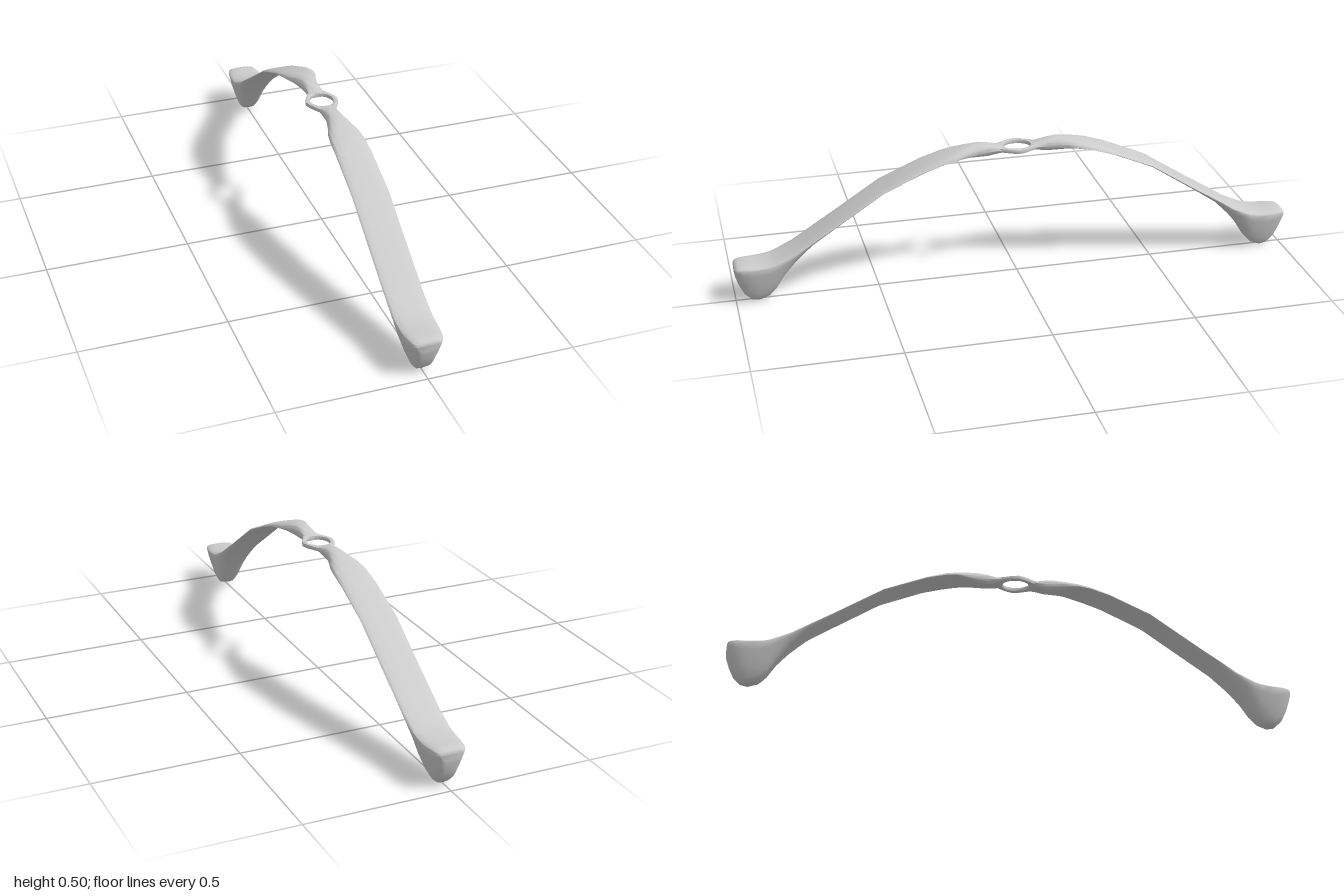
import * as THREE from 'three';
import { mergeVertices, toCreasedNormals } from 'three/addons/utils/BufferGeometryUtils.js';

const material = new THREE.MeshStandardMaterial({ color: 0xcccccc });
const SIDES = 32;

// Arm stations: z, half width, half width at the bottom, top y, edge y, bottom y
const STATIONS = [
  [0.048, 0.034, 0.034, 0.489, 0.482, 0.473],
  [0.075, 0.029, 0.028, 0.494, 0.482, 0.466],
  [0.105, 0.028, 0.026, 0.502, 0.482, 0.460],
  [0.14, 0.031, 0.030, 0.505, 0.479, 0.461],
  [0.18, 0.041, 0.038, 0.500, 0.474, 0.465],
  [0.22, 0.054, 0.051, 0.490, 0.470, 0.467],
  [0.26, 0.060, 0.058, 0.479, 0.463, 0.461],
  [0.33, 0.062, 0.060, 0.454, 0.443, 0.438],
  [0.48, 0.064, 0.062, 0.387, 0.380, 0.373],
  [0.65, 0.064, 0.061, 0.278, 0.270, 0.260],
  [0.73, 0.064, 0.058, 0.228, 0.220, 0.203],
  [0.79, 0.064, 0.054, 0.190, 0.182, 0.142],
  [0.83, 0.064, 0.049, 0.171, 0.162, 0.092],
  [0.86, 0.064, 0.044, 0.158, 0.148, 0.043],
  [0.885, 0.063, 0.040, 0.152, 0.142, 0.016],
  [0.92, 0.062, 0.038, 0.149, 0.138, 0.003],
  [0.945, 0.060, 0.036, 0.149, 0.137, 0.007],
  [0.97, 0.056, 0.036, 0.149, 0.137, 0.030],
  [0.987, 0.051, 0.036, 0.147, 0.137, 0.066],
  [0.997, 0.045, 0.036, 0.143, 0.135, 0.097],
  [1.0, 0.039, 0.032, 0.137, 0.130, 0.110],
];

// Lofts rounded sections along z, tapering each one toward its lower side
function armGeometry() {
  const positions = [], index = [];
  for (const [z, w, wb, top, edge, bottom] of STATIONS) {
    for (let i = 0; i < SIDES; i++) {
      const a = (i / SIDES) * Math.PI * 2;
      const c = Math.cos(a), s = Math.sin(a), depth = Math.max(0, -s);
      const x = THREE.MathUtils.lerp(w, wb, depth) * Math.sign(c) * Math.abs(c) ** (s > 0 ? 0.65 : 0.45);
      const y = s > 0 ? edge + (top - edge) * s : edge - (edge - bottom) * depth;
      positions.push(x, y, z);
    }
  }
  const rows = STATIONS.length;
  for (let r = 0; r < rows - 1; r++) {
    for (let i = 0; i < SIDES; i++) {
      const j = (i + 1) % SIDES;
      const a = r * SIDES + i, b = r * SIDES + j;
      index.push(a, b, a + SIDES, b, b + SIDES, a + SIDES);
    }
  }
  // End caps
  const last = (rows - 1) * SIDES;
  for (let i = 1; i < SIDES - 1; i++) {
    index.push(0, i + 1, i);
    index.push(last, last + i, last + i + 1);
  }
  const geometry = new THREE.BufferGeometry();
  geometry.setAttribute('position', new THREE.Float32BufferAttribute(positions, 3));
  geometry.setIndex(index);
  return toCreasedNormals(mergeVertices(geometry), 0.95);
}

// Flat eyelet with a faceted outline and an oval hole
function eyeletGeometry() {
  const corners = [[0.055, 0], [0.049, 0.022], [0.034, 0.05], [0.026, 0.064]];
  const right = [...corners.slice(1).reverse().map(([x, z]) => [x, -z]), ...corners];
  const left = right.map(([x, z]) => [-x, -z]);
  const shape = new THREE.Shape([...right, ...left].map(([x, z]) => new THREE.Vector2(x, z)));
  const hole = new THREE.Path();
  hole.absellipse(0, 0, 0.043, 0.051, 0, Math.PI * 2, true);
  shape.holes.push(hole);
  const geometry = new THREE.ExtrudeGeometry(shape, {
    depth: 0.007, bevelThickness: 0.004, bevelSize: 0.003, bevelSegments: 2, curveSegments: 24,
  });
  geometry.rotateX(-Math.PI / 2).translate(0, 0.478, 0);
  return toCreasedNormals(geometry, 0.7);
}

export function createModel() {
  const model = new THREE.Group();
  model.name = 'archedHandle';

  const arm = armGeometry();
  ['frontArm', 'backArm'].forEach((name, i) => {
    const mesh = new THREE.Mesh(arm, material);
    mesh.name = name;
    mesh.rotation.y = i * Math.PI;
    model.add(mesh);
  });

  const eyelet = new THREE.Mesh(eyeletGeometry(), material);
  eyelet.name = 'centreEyelet';
  model.add(eyelet);
  return model;
}
